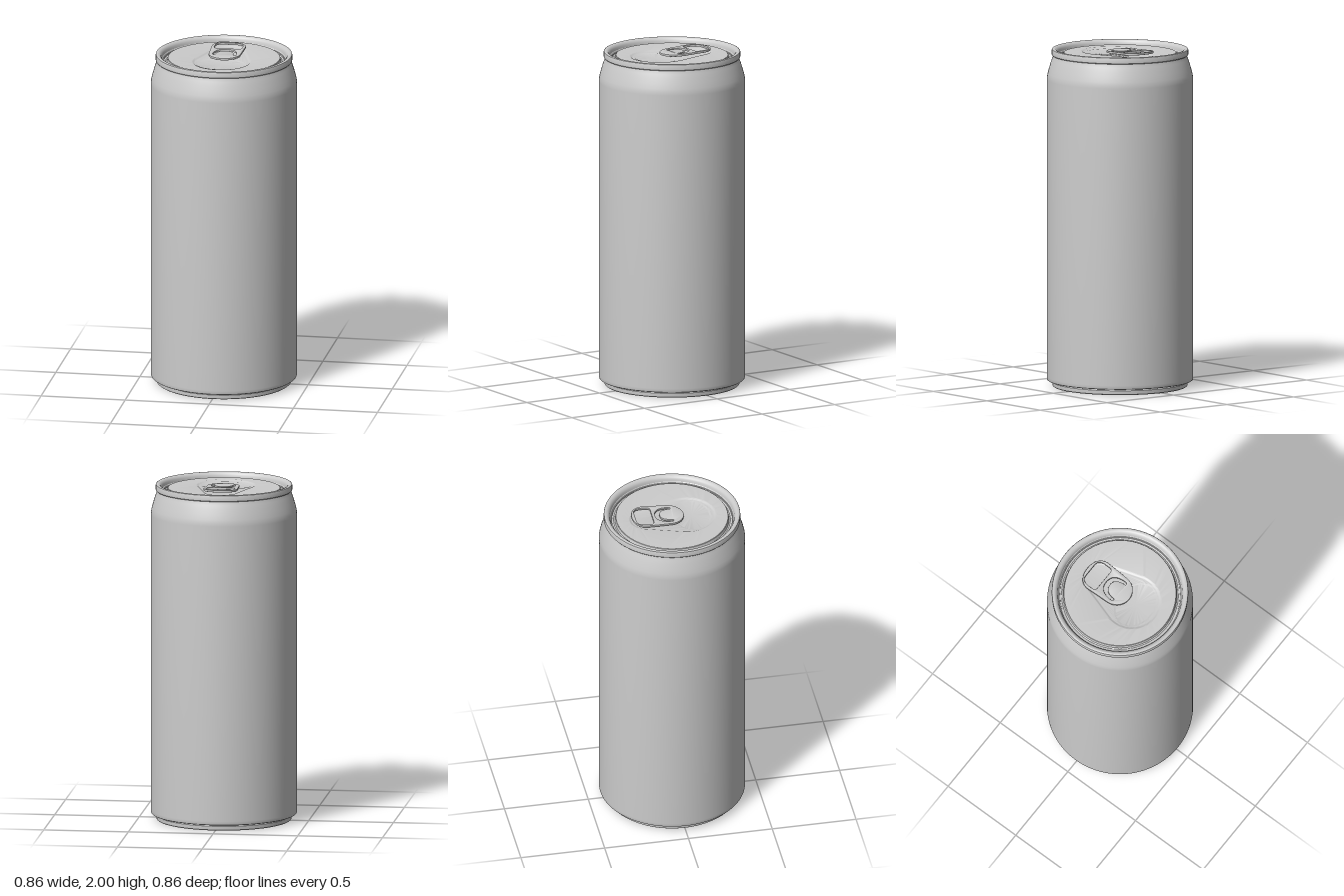
import * as THREE from 'three';
import { toCreasedNormals } from 'three/addons/utils/BufferGeometryUtils.js';

const SEGMENTS = 96;
const PANEL_Y = 1.972;

function addPart(group, name, geometry, crease = 0.5) {
  const material = new THREE.MeshStandardMaterial({ color: 0xcccccc, side: THREE.DoubleSide });
  const mesh = new THREE.Mesh(toCreasedNormals(geometry, crease), material);
  mesh.name = name;
  group.add(mesh);
  return mesh;
}

const lathe = (points) =>
  new THREE.LatheGeometry(points.map(([r, y]) => new THREE.Vector2(r, y)), SEGMENTS);

// Closed loops running from outside to inside, skinned facing up
function loftLoops(loops) {
  const n = loops[0].length;
  const index = [];
  for (let i = 0; i < loops.length - 1; i++) {
    for (let j = 0; j < n; j++) {
      const a = i * n + j, b = i * n + ((j + 1) % n);
      index.push(a, a + n, b, b, a + n, b + n);
    }
  }
  const geometry = new THREE.BufferGeometry();
  geometry.setAttribute('position', new THREE.Float32BufferAttribute(loops.flat(2), 3));
  geometry.setIndex(index);
  return geometry;
}

function makeLoop(pointAt, y) {
  return Array.from({ length: SEGMENTS }, (_, j) => {
    const [x, z] = pointAt(((j + 0.5) / SEGMENTS) * Math.PI * 2);
    return [x, y, z];
  });
}

const ellipse = (rx, rz, cz = 0) => (a) => [rx * Math.cos(a), cz + rz * Math.sin(a)];

// Hull of a small back circle and a large front circle, shrunk by inset
function teardrop(inset) {
  const back = { z: -0.155, r: 0.1 }, front = { z: 0.088, r: 0.173 };
  return (a) => {
    const reach = (c) => c.z * Math.sin(a) + c.r;
    const c = reach(back) > reach(front) ? back : front;
    return [(c.r - inset) * Math.cos(a), c.z + (c.r - inset) * Math.sin(a)];
  };
}

// Pull tab outline with finger hole and arched slot (shape y points to the back)
function tabGeometry() {
  const shape = new THREE.Shape();
  shape.moveTo(-0.094, 0.025);
  shape.absarc(0, 0.025, 0.094, Math.PI, Math.PI * 2, false);
  shape.lineTo(0.1, 0.16);
  shape.bezierCurveTo(0.1, 0.21, 0.065, 0.241, 0, 0.241);
  shape.bezierCurveTo(-0.065, 0.241, -0.1, 0.21, -0.1, 0.16);
  shape.closePath();

  const finger = new THREE.Path();
  finger.moveTo(-0.06, 0.12);
  finger.lineTo(0.06, 0.12);
  finger.quadraticCurveTo(0.082, 0.12, 0.082, 0.142);
  finger.lineTo(0.082, 0.17);
  finger.bezierCurveTo(0.082, 0.205, 0.065, 0.22, 0.04, 0.22);
  finger.lineTo(-0.04, 0.22);
  finger.bezierCurveTo(-0.065, 0.22, -0.082, 0.205, -0.082, 0.17);
  finger.lineTo(-0.082, 0.142);
  finger.quadraticCurveTo(-0.082, 0.12, -0.06, 0.12);

  const slot = new THREE.Path();
  slot.moveTo(0.07, 0.01);
  slot.bezierCurveTo(0.07, 0.075, 0.045, 0.102, 0, 0.102);
  slot.bezierCurveTo(-0.045, 0.102, -0.07, 0.075, -0.07, 0.01);
  slot.quadraticCurveTo(-0.062, -0.006, -0.054, 0.005);
  slot.bezierCurveTo(-0.052, 0.055, -0.035, 0.075, 0, 0.075);
  slot.bezierCurveTo(0.035, 0.075, 0.052, 0.055, 0.054, 0.005);
  slot.quadraticCurveTo(0.062, -0.006, 0.07, 0.01);

  shape.holes.push(finger, slot);
  const geometry = new THREE.ExtrudeGeometry(shape, {
    depth: 0.007, curveSegments: 20, bevelEnabled: true,
    bevelThickness: 0.003, bevelSize: 0.003, bevelOffset: -0.003, bevelSegments: 2,
  });
  return geometry.rotateX(-Math.PI / 2);
}

export function createModel() {
  const can = new THREE.Group();
  can.name = 'drinkCan';

  // Inward dome and standing foot
  const dome = Array.from({ length: 17 }, (_, i) => {
    const r = (0.37 * i) / 16;
    return [r, 0.008 + 0.085 * (1 - (r / 0.37) ** 2)];
  });
  addPart(can, 'base', lathe([
    ...dome, [0.374, 0.002], [0.38, 0], [0.39, 0], [0.395, 0.004], [0.396, 0.026], [0.39, 0.032], [0.39, 0.04],
  ]));

  // Straight wall with a tapered shoulder
  addPart(can, 'body', lathe([
    [0.388, 0.036], [0.421, 0.036], [0.426, 0.039], [0.428, 0.045], [0.428, 0.06], [0.428, 1.815],
    [0.427, 1.833], [0.423, 1.853], [0.415, 1.882], [0.406, 1.912], [0.398, 1.936], [0.392, 1.952], [0.39, 1.962],
  ]));

  // Rolled rim stepping down into the lid groove
  addPart(can, 'rim', lathe([
    [0.388, 1.957], [0.397, 1.957], [0.4, 1.961], [0.4, 1.988], [0.398, 1.993], [0.393, 1.9955],
    [0.386, 1.9955], [0.378, 1.993], [0.37, 1.986], [0.365, 1.976], [0.363, 1.962], [0.358, 1.956],
    [0.353, 1.956], [0.352, 1.95], [0.342, 1.947], [0.334, 1.95], [0.331, 1.957], [0.33, PANEL_Y - 0.002],
    [0.328, PANEL_Y],
  ]));

  // Lid with teardrop recess and sunken mouth panel
  const floorY = PANEL_Y - 0.008;
  addPart(can, 'lid', loftLoops([
    makeLoop(ellipse(0.328, 0.328), PANEL_Y),
    makeLoop(teardrop(-0.003), PANEL_Y),
    makeLoop(teardrop(0), PANEL_Y),
    makeLoop(teardrop(0.005), PANEL_Y - 0.0015),
    makeLoop(teardrop(0.012), PANEL_Y - 0.0065),
    makeLoop(teardrop(0.017), floorY),
    makeLoop(teardrop(0.019), floorY),
    makeLoop(ellipse(0.149, 0.115, 0.116), floorY),
    makeLoop(ellipse(0.147, 0.113, 0.116), floorY),
    makeLoop(ellipse(0.143, 0.109, 0.116), floorY - 0.002),
    makeLoop(ellipse(0.139, 0.105, 0.116), floorY - 0.004),
    makeLoop(ellipse(0.137, 0.103, 0.116), floorY - 0.004),
    makeLoop(ellipse(0, 0, 0.116), floorY - 0.004),
  ]), 0.6);

  // Pull tab, lifted slightly at the back, on its rivet
  const tab = addPart(can, 'pullTab', tabGeometry());
  tab.position.y = 1.978;
  tab.rotation.x = 0.04;

  const rivet = addPart(can, 'rivet', new THREE.CylinderGeometry(0.032, 0.036, 0.026, 32));
  rivet.position.set(0, 1.973, -0.02);

  return can;
}
